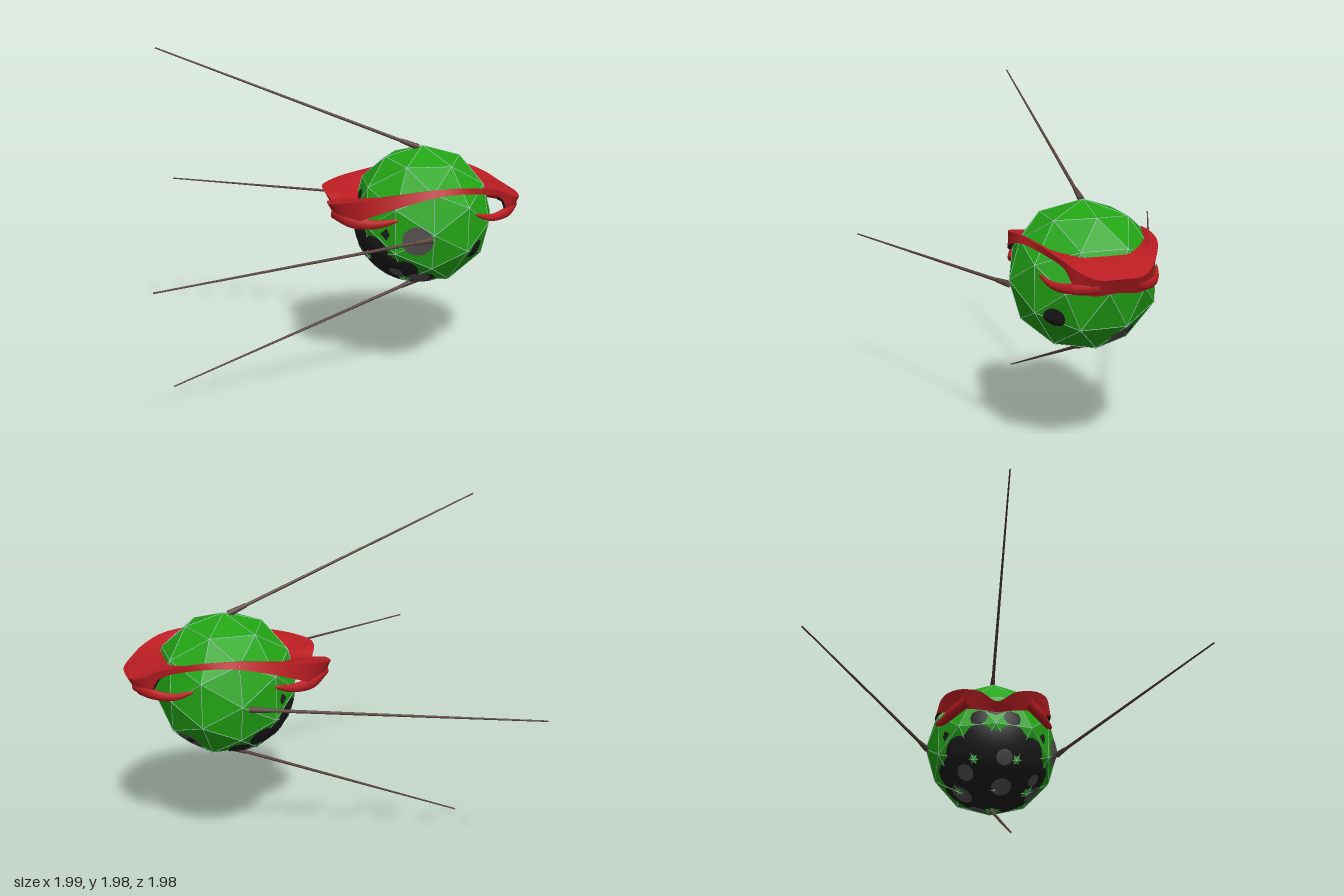
import * as THREE from 'three';
import { mergeGeometries } from 'three/addons/utils/BufferGeometryUtils.js';

const V = (x, y, z) => new THREE.Vector3(x, y, z);
const UP = V(0, 1, 0);
const CENTER = V(0.445, 1.015, 0);
const R = 0.4;

const paint = (name, color) => {
  const m = new THREE.MeshStandardMaterial({ color });
  m.name = name;
  return m;
};

const part = (name, geometry, material, parent) => {
  const m = new THREE.Mesh(geometry, material);
  m.name = name;
  parent.add(m);
  return m;
};

// Tapered rod between two points
function rod(a, b, ra, rb, sides = 10) {
  const d = b.clone().sub(a);
  const g = new THREE.CylinderGeometry(rb, ra, d.length(), sides);
  g.applyQuaternion(new THREE.Quaternion().setFromUnitVectors(UP, d.normalize()));
  const mid = a.clone().add(b).multiplyScalar(0.5);
  return g.translate(mid.x, mid.y, mid.z);
}

// Round patch whose points are pushed out to radiusAt(direction)
function patch(dir, angle, radiusAt) {
  const g = new THREE.SphereGeometry(1, 28, 8, 0, Math.PI * 2, 0, angle);
  g.applyQuaternion(new THREE.Quaternion().setFromUnitVectors(UP, dir.clone().normalize()));
  const p = g.attributes.position, v = V(0, 0, 0);
  for (let i = 0; i < p.count; i++) {
    v.fromBufferAttribute(p, i).normalize();
    v.multiplyScalar(radiusAt(v) + 0.003);
    p.setXYZ(i, v.x, v.y, v.z);
  }
  g.computeVertexNormals();
  return g;
}

// Smooth strip between two closed rails
function strip(railA, railB, n) {
  const pos = [], idx = [];
  for (let i = 0; i <= n; i++) {
    const t = (i % n) / n;
    pos.push(...railA.getPoint(t).toArray(), ...railB.getPoint(t).toArray());
    if (i < n) {
      const a = 2 * i;
      idx.push(a, a + 2, a + 1, a + 1, a + 2, a + 3);
    }
  }
  const g = new THREE.BufferGeometry();
  g.setAttribute('position', new THREE.Float32BufferAttribute(pos, 3));
  g.setIndex(idx);
  g.computeVertexNormals();
  return g;
}

// Horn: a tube flattened sideways, narrowing to a point
function horn(points, radius) {
  const n = 20, sides = 12;
  const curve = new THREE.CatmullRomCurve3(points);
  const g = new THREE.TubeGeometry(curve, n, radius, sides);
  const p = g.attributes.position;
  for (let i = 0; i < p.count; i++) {
    const t = Math.floor(i / (sides + 1)) / n;
    const c = curve.getPointAt(t);
    const s = Math.sqrt(1 - t) + 0.02;
    p.setXYZ(i, c.x + (p.getX(i) - c.x) * s * 0.7, c.y + (p.getY(i) - c.y) * s,
      c.z + (p.getZ(i) - c.z) * s * 0.7);
  }
  g.computeVertexNormals();
  return g;
}

export function createModel() {
  const group = new THREE.Group();
  const green = paint('green', 0x22a514);
  const line = paint('paleLine', 0xa9d3c8);
  const red = paint('red', 0xba1d22);
  const black = paint('black', 0x1d1d1d);
  const grey = paint('grey', 0x575353);
  const brown = paint('brown', 0x5a443d);

  const ball = new THREE.Group();
  ball.name = 'ball';
  ball.position.copy(CENTER);
  group.add(ball);

  // Faceted shell
  const shell = new THREE.IcosahedronGeometry(R, 1);
  shell.computeVertexNormals();
  part('facetedShell', shell, green, ball);

  // Pale lines along the facet edges
  const e = new THREE.EdgesGeometry(shell, 1).attributes.position;
  const seams = [];
  for (let i = 0; i < e.count; i += 2) {
    seams.push(rod(V(0, 0, 0).fromBufferAttribute(e, i), V(0, 0, 0).fromBufferAttribute(e, i + 1),
      0.0022, 0.0022, 4));
  }
  part('facetSeams', mergeGeometries(seams), line, ball);

  // Smooth dark core breaking through the shell low at the rear
  const coreR = 0.366, offset = V(-0.021, -0.022, 0);
  const core = new THREE.SphereGeometry(coreR, 48, 32);
  core.translate(offset.x, offset.y, offset.z);
  part('darkCore', core, black, ball);

  // Shell radius in a direction, from the facet planes
  const sp = shell.attributes.position, sn = shell.attributes.normal, planes = [];
  for (let i = 0; i < sp.count; i += 3) {
    const n = V(0, 0, 0).fromBufferAttribute(sn, i);
    planes.push([n, n.dot(V(0, 0, 0).fromBufferAttribute(sp, i))]);
  }
  const shellRadius = (d) => {
    let r = R;
    for (const [n, h] of planes) {
      const c = n.dot(d);
      if (c > 0.5) r = Math.min(r, h / c);
    }
    return r;
  };
  const coreRadius = (d) => {
    const b = d.dot(offset);
    return b + Math.sqrt(b * b - offset.lengthSq() + coreR * coreR);
  };
  const outerRadius = (d) => Math.max(shellRadius(d), coreRadius(d));

  // Round spots on the shell
  part('frontGreySpot', patch(V(-0.09, -0.045, 0.38), 0.22, outerRadius), grey, ball);
  part('blackSpot', patch(V(0.27, -0.145, 0.25), 0.15, outerRadius), black, ball);
  part('rearGreySpot', patch(V(0.24, -0.27, -0.13), 0.21, outerRadius), grey, ball);
  part('rearBlackFleck', patch(V(0.23, -0.24, -0.17), 0.06, (d) => outerRadius(d) + 0.003), black, ball);

  // Grey blotches on the core
  const blotches = [
    [-0.05, -0.29, 0.23, 0.16], [-0.17, -0.25, 0.22, 0.1], [0.02, -0.37, -0.08, 0.13],
    [-0.1, -0.33, -0.18, 0.17], [-0.24, -0.24, -0.16, 0.13], [-0.33, -0.18, 0.05, 0.12],
    [-0.22, -0.32, 0.04, 0.15],
  ];
  part('greyBlotches', mergeGeometries(blotches.map(([x, y, z, a]) => patch(V(x, y, z), a, coreRadius))),
    grey, ball);

  // Four swept antennas with thicker sockets
  const antennas = [
    ['topAntenna', V(0.42, 1.405, 0), V(-0.998, 1.98, 0.004)],
    ['bottomAntenna', V(0.44, 0.62, 0), V(-0.998, 0.003, -0.004)],
    ['frontAntenna', V(0.43, 0.99, 0.395), V(-0.998, 0.985, 0.985)],
    ['backAntenna', V(0.41, 1.0, -0.395), V(-0.998, 1.0, -0.985)],
  ];
  for (const [name, base, tip] of antennas) {
    const neck = base.clone().lerp(tip, 0.07);
    part(name, mergeGeometries([
      rod(base, neck, 0.018, 0.012), rod(neck, tip, 0.0095, 0.004),
    ]), brown, group);
  }

  // Mask sections from front to rear: inner edge, rim, lower lip
  const half = [
    [V(0.78, 1.19, 0), V(0.995, 1.13, 0), V(0.95, 1.05, 0)],
    [V(0.76, 1.195, 0.1), V(0.98, 1.13, 0.11), V(0.935, 1.04, 0.12)],
    [V(0.74, 1.2, 0.16), V(0.93, 1.155, 0.18), V(0.895, 1.06, 0.19)],
    [V(0.69, 1.205, 0.21), V(0.86, 1.195, 0.235), V(0.845, 1.16, 0.235)],
    [V(0.6, 1.215, 0.26), V(0.73, 1.237, 0.295), V(0.72, 1.205, 0.295)],
    [V(0.45, 1.22, 0.3), V(0.5, 1.25, 0.33), V(0.5, 1.215, 0.345)],
    [V(0.3, 1.2, 0.28), V(0.3, 1.228, 0.33), V(0.3, 1.17, 0.345)],
    [V(0.18, 1.18, 0.22), V(0.14, 1.2, 0.315), V(0.13, 1.11, 0.32)],
    [V(0.12, 1.16, 0.14), V(0, 1.175, 0.275), V(0.02, 1.06, 0.265)],
    [V(0.1, 1.14, 0.09), V(-0.1, 1.15, 0.2), V(-0.05, 1.05, 0.19)],
    [V(0.1, 1.13, 0.05), V(-0.1, 1.14, 0.1), V(-0.05, 1.05, 0.1)],
    [V(0.1, 1.12, 0), V(-0.06, 1.1, 0), V(-0.025, 1.05, 0)],
  ];
  const mirrored = half.slice(1, -1).reverse().map((s) => s.map((p) => V(p.x, p.y, -p.z)));
  const sections = [...half, ...mirrored].map(([a, b, c]) => [
    a,
    a.clone().lerp(b, 0.55).add(V(0, 0.008, 0)),
    b,
    c,
    c.clone().lerp(a, 0.1),
    b.clone().lerp(a, 0.15).add(V(0, -0.015, 0)),
    a.clone().add(V(0, -0.02, 0)),
  ]);
  const rails = sections[0].map((_, k) => new THREE.CatmullRomCurve3(sections.map((s) => s[k]), true));
  const strips = rails.slice(1).map((r, k) => strip(rails[k], r, 132));
  const mask = new THREE.Group();
  mask.name = 'mask';
  group.add(mask);
  part('maskOuter', mergeGeometries(strips.slice(0, 3)), red, mask);
  part('maskLining', mergeGeometries(strips.slice(3)), black, mask);

  // Horns hugging the ball below the band
  for (const s of [1, -1]) {
    const side = s > 0 ? 'front' : 'back';
    part(side + 'NoseHorn', horn([V(0.95, 1.09, 0.09 * s), V(0.89, 1.07, 0.19 * s),
      V(0.78, 1.065, 0.27 * s), V(0.68, 1.1, 0.315 * s)], 0.035), red, mask);
    part(side + 'TailHorn', horn([V(-0.07, 1.1, 0.17 * s), V(0.02, 1.06, 0.25 * s),
      V(0.14, 1.058, 0.305 * s), V(0.26, 1.09, 0.345 * s)], 0.042), red, mask);
  }

  return group;
}
